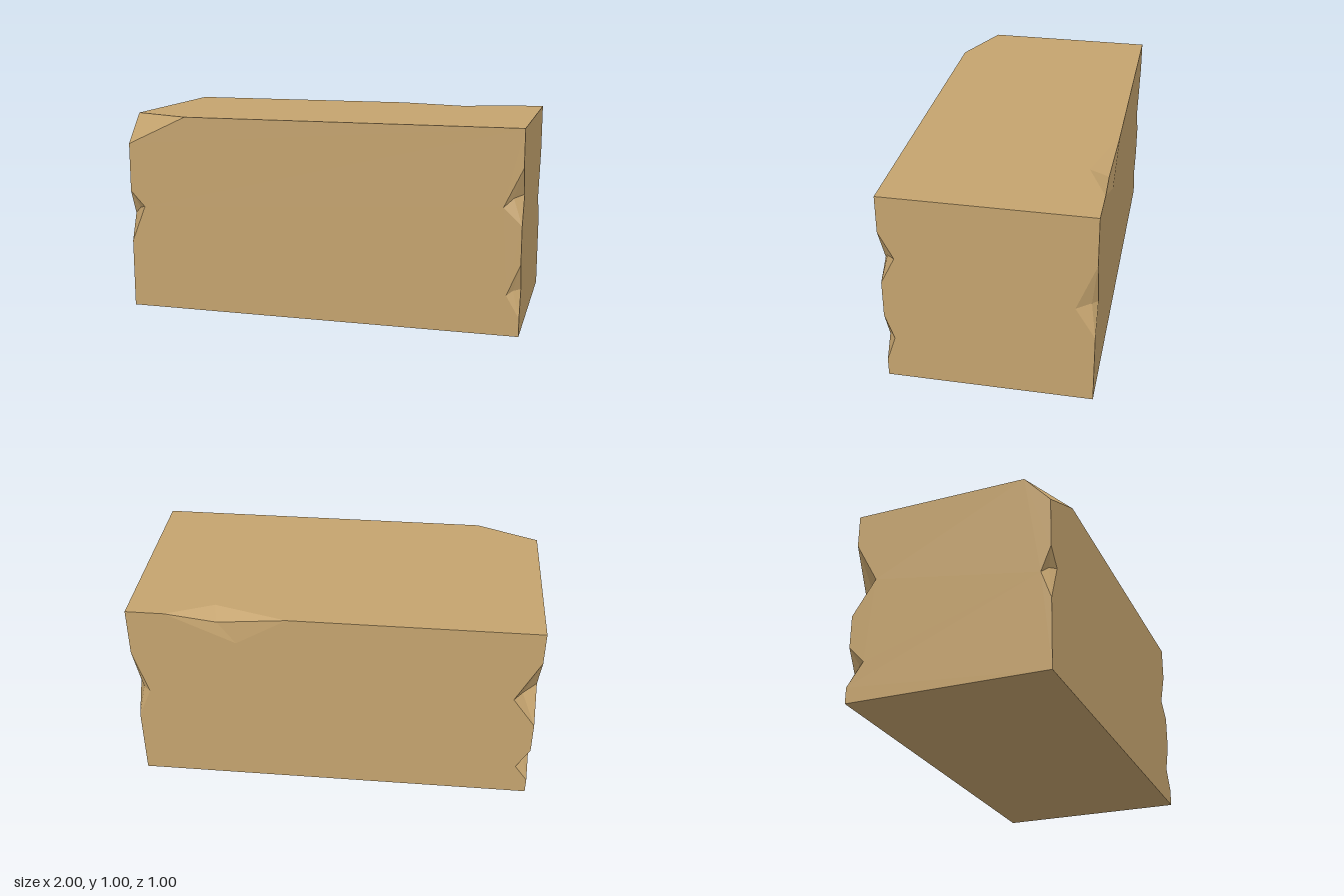
import * as THREE from 'three';

const V = (x, y, z) => new THREE.Vector3(x, y, z);
const CENTRE = V(0, 0.5, 0);

// Flat-shaded geometry from triangles; each one is wound so that facing(normal, centroid) > 0
function flatGeometry(triangles, facing) {
  const points = [];
  for (const [a, b, c] of triangles) {
    const normal = b.clone().sub(a).cross(c.clone().sub(a));
    const middle = a.clone().add(b).add(c).divideScalar(3);
    points.push(...(facing(normal, middle) > 0 ? [a, b, c] : [a, c, b]));
  }
  const geometry = new THREE.BufferGeometry().setFromPoints(points);
  geometry.computeVertexNormals();
  return geometry;
}

// Flat side of the block: an outline lying across the given axis
function sideGeometry(axis, outline) {
  const [u, v] = ['x', 'y', 'z'].filter((k) => k !== axis);
  let ring = outline;
  const flat = (list) => list.map((p) => new THREE.Vector2(p[u], p[v]));
  if (THREE.ShapeUtils.isClockWise(flat(ring))) ring = [...ring].reverse();
  const triangles = THREE.ShapeUtils.triangulateShape(flat(ring), [])
    .map((t) => t.map((i) => ring[i]));
  return flatGeometry(triangles, (n, m) => n.dot(m.clone().sub(CENTRE)));
}

// Four-sided notch broken out of an edge
function notchGeometry({ start, end, face, side, deep }) {
  const edgeMiddle = start.clone().lerp(end, 0.5);
  return flatGeometry(
    [[start, face, deep], [face, end, deep], [end, side, deep], [side, start, deep]],
    (n, m) => n.dot(edgeMiddle.clone().sub(m)));
}

// Notch on an upright edge: face lies on the front or back, side on the block's end
function uprightNotch(x, z, top, bottom, [faceIn, faceY], [sideIn, sideY], [dx, y, dz]) {
  const sx = Math.sign(x), sz = Math.sign(z);
  return {
    start: V(x, top, z), end: V(x, bottom, z),
    face: V(x - sx * faceIn, faceY, z),
    side: V(x, sideY, z - sz * sideIn),
    deep: V(x - sx * dx, y, z - sz * dz),
  };
}

export function createModel() {
  const group = new THREE.Group();
  const sandstone = new THREE.MeshStandardMaterial({ color: 0xc4a36e });
  sandstone.name = 'sandstone';
  const add = (name, geometry) => {
    const mesh = new THREE.Mesh(geometry, sandstone);
    mesh.name = name;
    group.add(mesh);
  };

  // Notches, from top to bottom along each edge
  const frontLeft = [
    uprightNotch(1, 0.5, 0.815, 0.54, [0.09, 0.625], [0.07, 0.68], [0.045, 0.667, 0.025]),
    uprightNotch(1, 0.5, 0.355, 0.09, [0.065, 0.2], [0.045, 0.225], [0.035, 0.22, 0.02]),
  ];
  const frontRight = [
    uprightNotch(-1, 0.5, 0.61, 0.345, [0.075, 0.53], [0.05, 0.485], [0.04, 0.522, 0.025]),
  ];
  const backLeft = [
    uprightNotch(1, -0.5, 0.755, 0.36, [0.07, 0.52], [0.095, 0.515], [0.035, 0.53, 0.025]),
  ];
  const backRight = [
    uprightNotch(-1, -0.5, 0.835, 0.447, [0.115, 0.605], [0.115, 0.625], [0.07, 0.605, 0.06]),
    uprightNotch(-1, -0.5, 0.283, 0.08, [0.065, 0.17], [0.08, 0.197], [0.03, 0.195, 0.045]),
  ];
  const topBack = {
    start: V(0.81, 1, -0.5), end: V(0.22, 1, -0.5),
    face: V(0.47, 0.85, -0.5), side: V(0.58, 1, -0.4), deep: V(0.56, 0.96, -0.488),
  };

  // Corner cut off at the top front
  const cut = [V(-0.69, 1, 0.5), V(-1, 0.855, 0.5), V(-1, 1, 0.37)];

  // Outline pieces that run down or up a notched edge
  const down = (notches, key) => notches.flatMap((n) => [n.start, n[key], n.end]);
  const up = (notches, key) => down(notches, key).reverse();
  const corner = (x, y, z) => V(x, y, z * 0.5);

  add('frontFace', sideGeometry('z', [
    cut[0], corner(1, 1, 1), ...down(frontLeft, 'face'), corner(1, 0, 1),
    corner(-1, 0, 1), ...up(frontRight, 'face'), cut[1]]));
  add('backFace', sideGeometry('z', [
    corner(1, 1, -1), ...down(backLeft, 'face'), corner(1, 0, -1),
    corner(-1, 0, -1), ...up(backRight, 'face'), corner(-1, 1, -1),
    topBack.end, topBack.face, topBack.start]));
  add('leftEnd', sideGeometry('x', [
    corner(1, 1, 1), ...down(frontLeft, 'side'), corner(1, 0, 1),
    corner(1, 0, -1), ...up(backLeft, 'side'), corner(1, 1, -1)]));
  add('rightEnd', sideGeometry('x', [
    cut[2], cut[1], ...down(frontRight, 'side'), corner(-1, 0, 1),
    corner(-1, 0, -1), ...up(backRight, 'side'), corner(-1, 1, -1)]));
  add('topFace', sideGeometry('y', [
    cut[0], corner(1, 1, 1), corner(1, 1, -1), topBack.start, topBack.side, topBack.end,
    corner(-1, 1, -1), cut[2]]));
  add('bottomFace', sideGeometry('y', [
    corner(-1, 0, 1), corner(1, 0, 1), corner(1, 0, -1), corner(-1, 0, -1)]));

  add('cutCorner', flatGeometry([cut], (n, m) => n.dot(m.clone().sub(CENTRE))));
  [...frontLeft, ...frontRight, ...backLeft, ...backRight, topBack].forEach((notch, i) =>
    add(`edgeNotch${i + 1}`, notchGeometry(notch)));

  return group;
}
